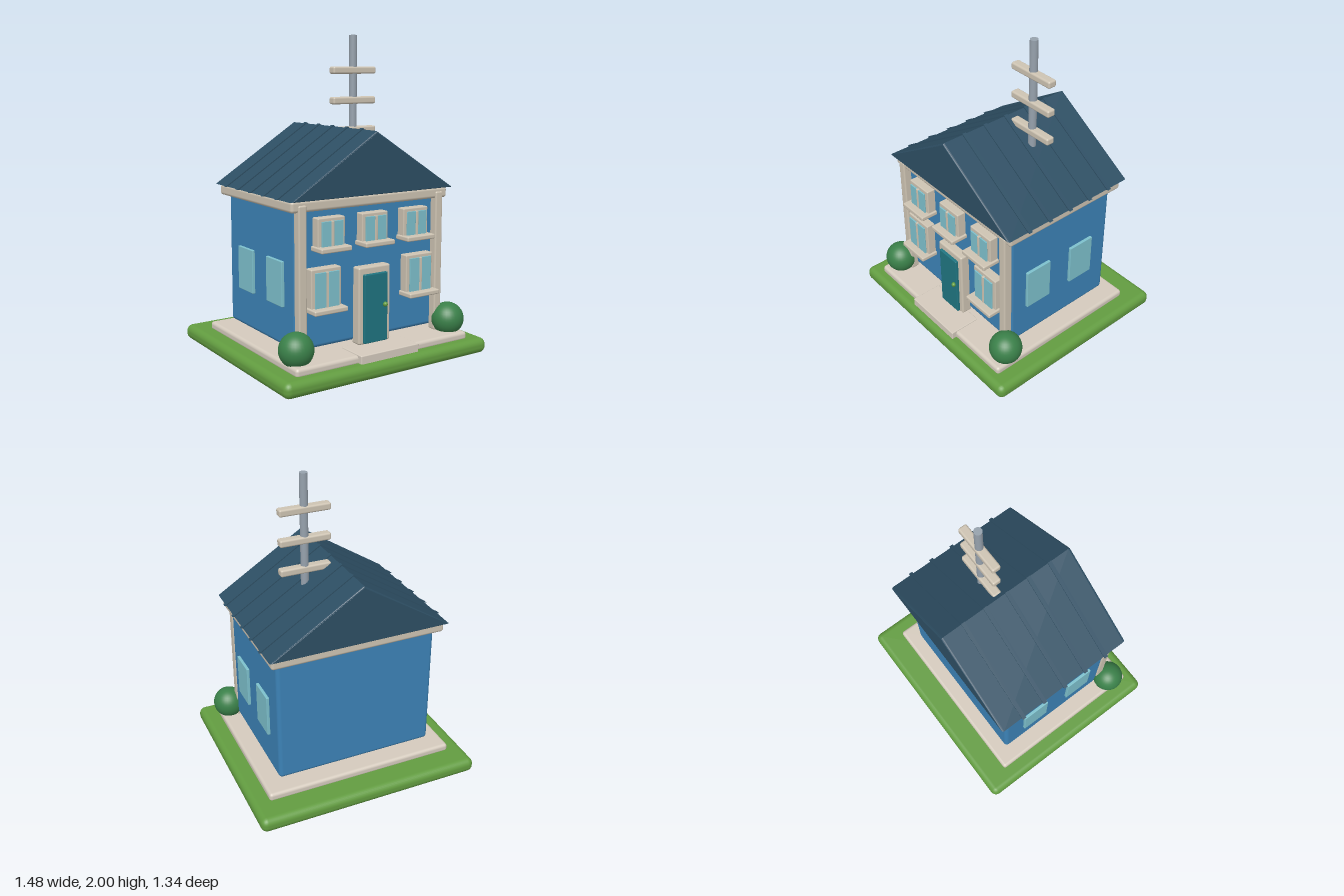
import * as THREE from 'three';
import { RoundedBoxGeometry } from 'three/addons/geometries/RoundedBoxGeometry.js';

const mat = (name, color) => {
  const m = new THREE.MeshStandardMaterial({ color });
  m.name = name;
  return m;
};

export function createModel() {
  const house = new THREE.Group();
  house.name = 'house';

  const grass = mat('grass green', 0x629c40);
  const stone = mat('pale stone', 0xd4cabd);
  const cream = mat('cream trim', 0xcdc3b2);
  const wall = mat('wall blue', 0x3c82b6);
  const slate = mat('roof slate blue', 0x2d4e63);
  const glass = mat('window glass', 0x7dc0cc);
  const teal = mat('door teal', 0x1f7480);
  const leaf = mat('leaf green', 0x3a8049);
  const steel = mat('antenna grey', 0x96a1ac);

  const add = (name, geometry, material, parent = house) => {
    const mesh = new THREE.Mesh(geometry, material);
    mesh.name = name;
    parent.add(mesh);
    return mesh;
  };

  // Rounded box given by its limits on each axis
  const block = (name, [x0, x1], [y0, y1], [z0, z1], radius, material, parent) => {
    const g = new RoundedBoxGeometry(x1 - x0, y1 - y0, z1 - z0, 3, radius);
    g.translate((x0 + x1) / 2, (y0 + y1) / 2, (z0 + z1) / 2);
    return add(name, g, material, parent);
  };

  // Ground, plinth and step
  block('lawn', [-0.74, 0.74], [0, 0.097], [-0.668, 0.668], 0.042, grass);
  block('plinth', [-0.632, 0.628], [0.085, 0.14], [-0.5, 0.597], 0.02, stone);
  block('doorStep', [-0.213, 0.21], [0.09, 0.147], [0.42, 0.628], 0.006, stone);

  // Walls, eaves band and corner posts
  block('walls', [-0.525, 0.525], [0.165, 1.02], [-0.405, 0.405], 0.025, wall);
  block('eavesBand', [-0.57, 0.568], [0.988, 1.056], [-0.448, 0.448], 0.018, cream);
  for (const s of [-1, 1]) {
    block('cornerPost', [s * 0.5 - 0.027, s * 0.5 + 0.027], [0.14, 1.03], [0.398, 0.457], 0.01, cream);
  }

  // Gable roof, its ridge running front to back, with raised seams
  const gable = (halfWidth, base, apex) => new THREE.Shape([
    new THREE.Vector2(-halfWidth, base),
    new THREE.Vector2(halfWidth, base),
    new THREE.Vector2(0, apex),
  ]);
  const roof = new THREE.ExtrudeGeometry(gable(0.587, 1.055, 1.43), {
    depth: 0.93, bevelEnabled: true, bevelThickness: 0.013, bevelSize: 0.01,
    bevelOffset: -0.01, bevelSegments: 3,
  });
  roof.translate(0, 0, -0.465);
  add('roof', roof, slate);
  for (let i = -2; i <= 2; i++) {
    const seam = new THREE.ExtrudeGeometry(gable(0.6, 1.055, 1.438), { depth: 0.026, bevelEnabled: false });
    seam.translate(0, 0, i * 0.16 - 0.013);
    add('roofSeam', seam, slate);
  }

  // Front window: frame, two panes with a mullion, and a sill
  const frontWindow = (x, halfWidth, bottom, top) => {
    const w = new THREE.Group();
    w.name = 'frontWindow';
    house.add(w);
    const inner = halfWidth - 0.02;
    block('windowFrame', [x - halfWidth, x + halfWidth], [bottom, top], [0.39, 0.462], 0.007, cream, w);
    for (const s of [-1, 1]) {
      const a = x + s * 0.009, b = x + s * inner;
      block('windowPane', [Math.min(a, b), Math.max(a, b)], [bottom + 0.015, top - 0.02],
        [0.466, 0.475], 0.002, glass, w);
    }
    block('mullion', [x - 0.009, x + 0.009], [bottom + 0.015, top - 0.02], [0.45, 0.478], 0.003, cream, w);
    block('windowSill', [x - halfWidth - 0.012, x + halfWidth + 0.012], [bottom - 0.01, bottom + 0.02],
      [0.4, 0.522], 0.008, cream, w);
  };
  for (const x of [-0.31, 0, 0.308]) frontWindow(x, 0.094, 0.762, 0.948);
  for (const x of [-0.346, 0.343]) frontWindow(x, 0.103, 0.405, 0.654);

  // Frameless side windows
  for (const s of [-1, 1]) {
    for (const z of [0.192, -0.166]) {
      block('sideWindow', [s * 0.533 - 0.01, s * 0.533 + 0.01], [0.408, 0.682], [z - 0.094, z + 0.094],
        0.004, glass);
    }
  }

  // Door
  block('doorFrame', [-0.118, 0.115], [0.147, 0.622], [0.39, 0.465], 0.012, cream);
  block('door', [-0.088, 0.083], [0.155, 0.58], [0.44, 0.483], 0.006, teal);
  add('doorKnob', new THREE.SphereGeometry(0.015, 16, 12), grass).position.set(0.06, 0.383, 0.49);

  // Round bushes at the front corners
  for (const s of [-1, 1]) {
    add('bush', new THREE.SphereGeometry(0.104, 32, 20), leaf).position.set(s * 0.564, 0.21, 0.48);
  }

  // Antenna mast with three crossbars
  const antenna = new THREE.Group();
  antenna.name = 'antenna';
  house.add(antenna);
  add('mast', new THREE.CylinderGeometry(0.025, 0.025, 0.74, 24), steel, antenna).position.set(0.19, 1.63, -0.048);
  for (const y of [1.397, 1.587, 1.778]) {
    block('crossbar', [0.025, 0.353], [y - 0.023, y + 0.023], [-0.077, -0.019], 0.012, cream, antenna);
  }

  return house;
}
